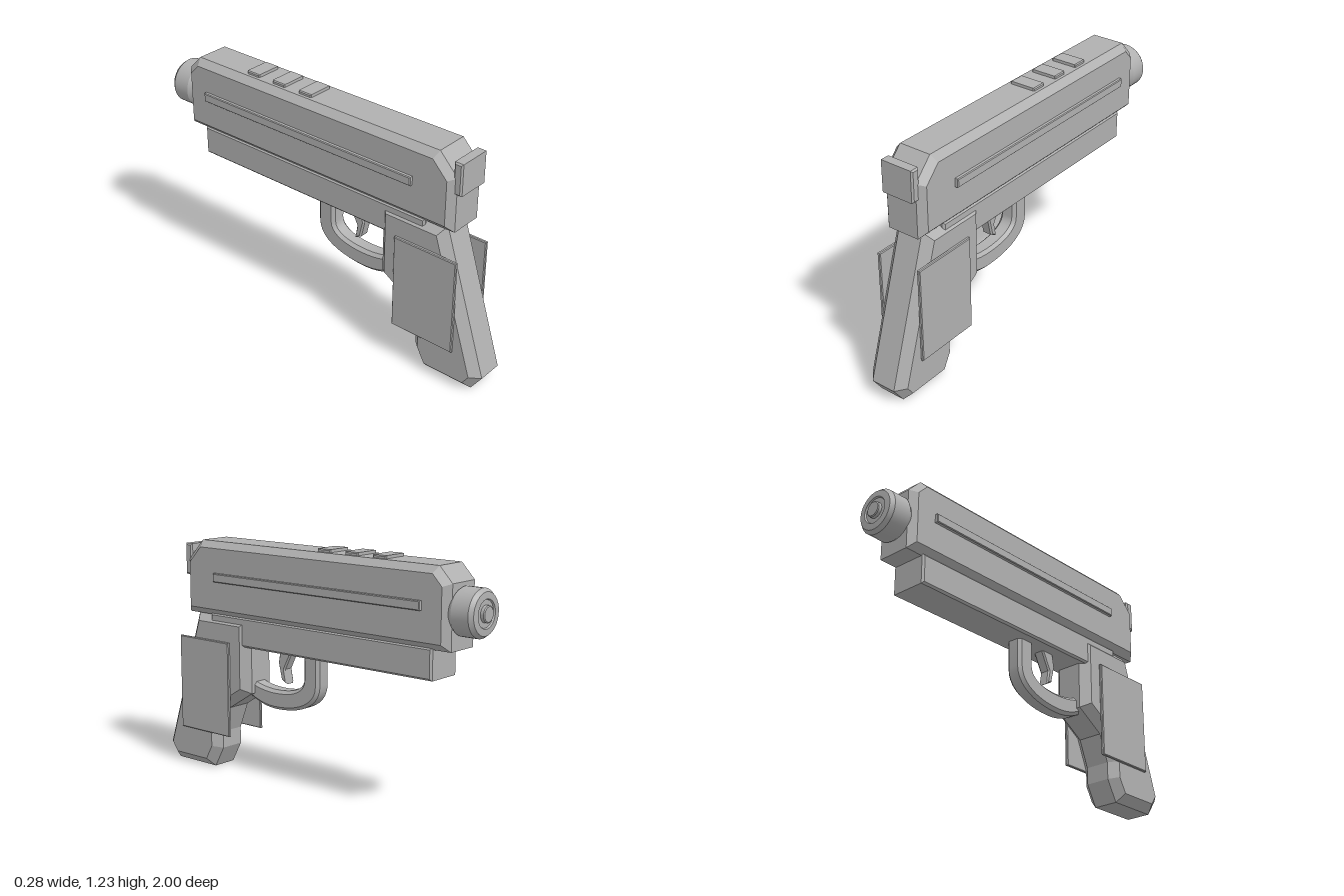
import * as THREE from 'three';
import { toCreasedNormals } from 'three/addons/utils/BufferGeometryUtils.js';

const grey = new THREE.MeshStandardMaterial({ color: 0xb0b0b0 });
grey.name = 'grey';

// Side profile (z, y) extruded across x from -half to +half with a single chamfer.
function profile(shape, half, bevel, smooth = false) {
  const geo = new THREE.ExtrudeGeometry(shape, {
    depth: 2 * (half - bevel), bevelEnabled: true, bevelSegments: 1,
    bevelThickness: bevel, bevelSize: bevel, bevelOffset: -bevel, curveSegments: 10,
  });
  geo.translate(0, 0, -(half - bevel));
  geo.rotateY(-Math.PI / 2);
  return smooth ? toCreasedNormals(geo, 0.5) : geo;
}

const polygon = (points) => new THREE.Shape(points.map(([z, y]) => new THREE.Vector2(z, y)));

// Chamfered block given by its z and y ranges and half width in x.
const block = (z0, z1, y0, y1, half, bevel) =>
  profile(polygon([[z0, y0], [z1, y0], [z1, y1], [z0, y1]]), half, bevel);

export function createModel() {
  const model = new THREE.Group();
  const add = (name, geo, x = 0) => {
    const mesh = new THREE.Mesh(geo, grey);
    mesh.name = name;
    mesh.position.x = x;
    model.add(mesh);
  };

  // Upper body with chamfered edges and cut top corners
  add('upperBody', profile(polygon([
    [0.81, 0.83], [0.81, 1.11], [0.71, 1.215], [-0.79, 1.215], [-0.862, 1.14], [-0.862, 0.83],
  ]), 0.12, 0.034));

  // Rail underneath
  add('lowerRail', block(-0.765, 0.65, 0.685, 0.84, 0.1, 0.01));

  // Grip with finger rest and swept back edge
  add('grip', profile(polygon([
    [0.76, 0.835], [0.39, 0.835], [0.39, 0.44], [0.55, 0.34], [0.605, 0.2],
    [0.605, 0.11], [0.665, 0], [0.94, 0], [1, 0.085],
  ]), 0.11, 0.044));

  // Plates and strips mirrored on both sides
  for (const side of [-1, 1]) {
    const label = side > 0 ? 'left' : 'right';
    add(label + 'GripPanel', block(0.5, 0.855, 0.2, 0.7, 0.009, 0.004), side * 0.119);
    add(label + 'SideStrip', block(-0.72, 0.59, 1.01, 1.055, 0.011, 0.004), side * 0.129);
  }

  // Three raised bars on top
  for (const z of [-0.1, -0.27, -0.437]) {
    add('topBar', block(z - 0.04, z + 0.04, 1.2, 1.23, 0.07, 0.005));
  }

  // Rear plate
  add('rearPlate', block(0.79, 0.837, 1.025, 1.188, 0.093, 0.008));

  // Trigger guard loop
  const guard = new THREE.Shape();
  guard.moveTo(0.06, 0.7);
  guard.lineTo(0.06, 0.56);
  guard.bezierCurveTo(0.06, 0.5, 0.15, 0.478, 0.25, 0.478);
  guard.quadraticCurveTo(0.34, 0.478, 0.42, 0.51);
  guard.lineTo(0.46, 0.44);
  guard.quadraticCurveTo(0.36, 0.376, 0.25, 0.376);
  guard.bezierCurveTo(0.09, 0.376, -0.042, 0.43, -0.042, 0.54);
  guard.lineTo(-0.042, 0.7);
  guard.closePath();
  add('triggerGuard', profile(guard, 0.045, 0.016, true));

  // Trigger
  add('trigger', profile(polygon([
    [0.225, 0.7], [0.24, 0.62], [0.22, 0.535], [0.183, 0.515], [0.195, 0.59], [0.14, 0.7],
  ]), 0.03, 0.008));

  // Round muzzle cap with a raised centre
  const cap = new THREE.LatheGeometry([
    [0, 0.85], [0.1, 0.85], [0.115, 0.872], [0.115, 0.965], [0.1, 0.985], [0.068, 0.988],
    [0.064, 0.98], [0.04, 0.98], [0.04, 0.996], [0.035, 1], [0, 1],
  ].map(([r, d]) => new THREE.Vector2(r, d)), 32);
  cap.rotateX(-Math.PI / 2);
  cap.translate(0, 1.008, 0);
  add('muzzleCap', toCreasedNormals(cap, 0.5));

  return model;
}
